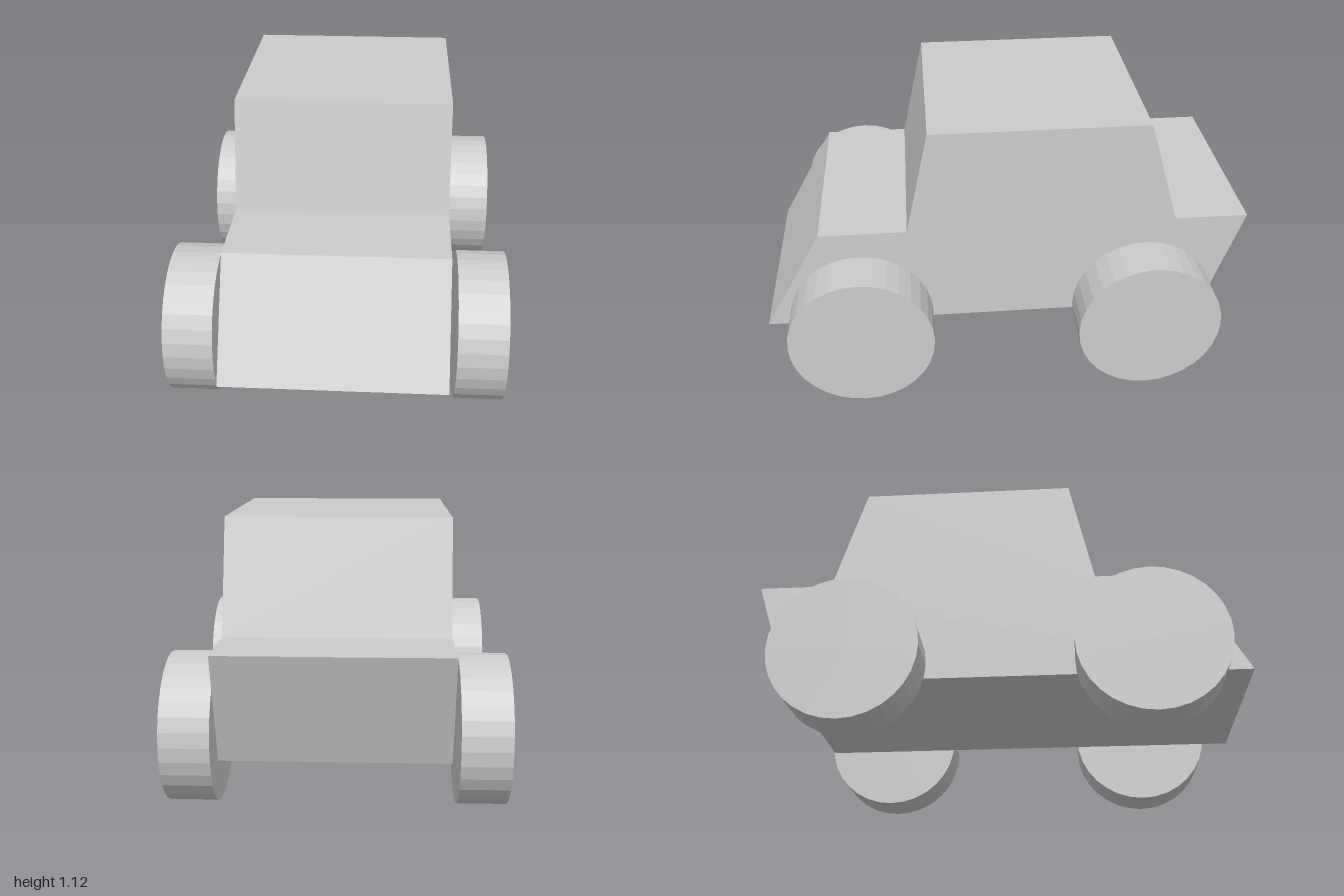
import * as THREE from 'three';

export function createModel() {
  const car = new THREE.Group();
  car.name = 'car';
  const material = new THREE.MeshStandardMaterial({ color: 0xcccccc, flatShading: true });

  // Body: side profile as (z, y), extruded across the width
  const width = 0.866;
  const profile = [
    [1, 0.245], [0.755, 0.68], [0.4, 0.68], [0.303, 1.12],
    [-0.568, 1.12], [-0.7, 0.68], [-1, 0.68], [-0.857, 0.245],
  ].map(([z, y]) => new THREE.Vector2(z, y));
  const bodyGeometry = new THREE.ExtrudeGeometry(new THREE.Shape(profile), {
    depth: width, bevelEnabled: false,
  });
  bodyGeometry.translate(0, 0, -width / 2).rotateY(-Math.PI / 2);
  const body = new THREE.Mesh(bodyGeometry, material);
  body.name = 'body';
  car.add(body);

  // Wheels: plain discs standing just clear of the body sides
  const radius = 0.295;
  const wheelGeometry = new THREE.CylinderGeometry(radius, radius, 0.192, 32).rotateZ(Math.PI / 2);
  for (const [end, z] of [['front', 0.602], ['rear', -0.578]]) {
    for (const [side, sign] of [['Left', 1], ['Right', -1]]) {
      const wheel = new THREE.Mesh(wheelGeometry, material);
      wheel.name = `${end}${side}Wheel`;
      wheel.position.set(sign * 0.559, radius, z);
      car.add(wheel);
    }
  }
  return car;
}
